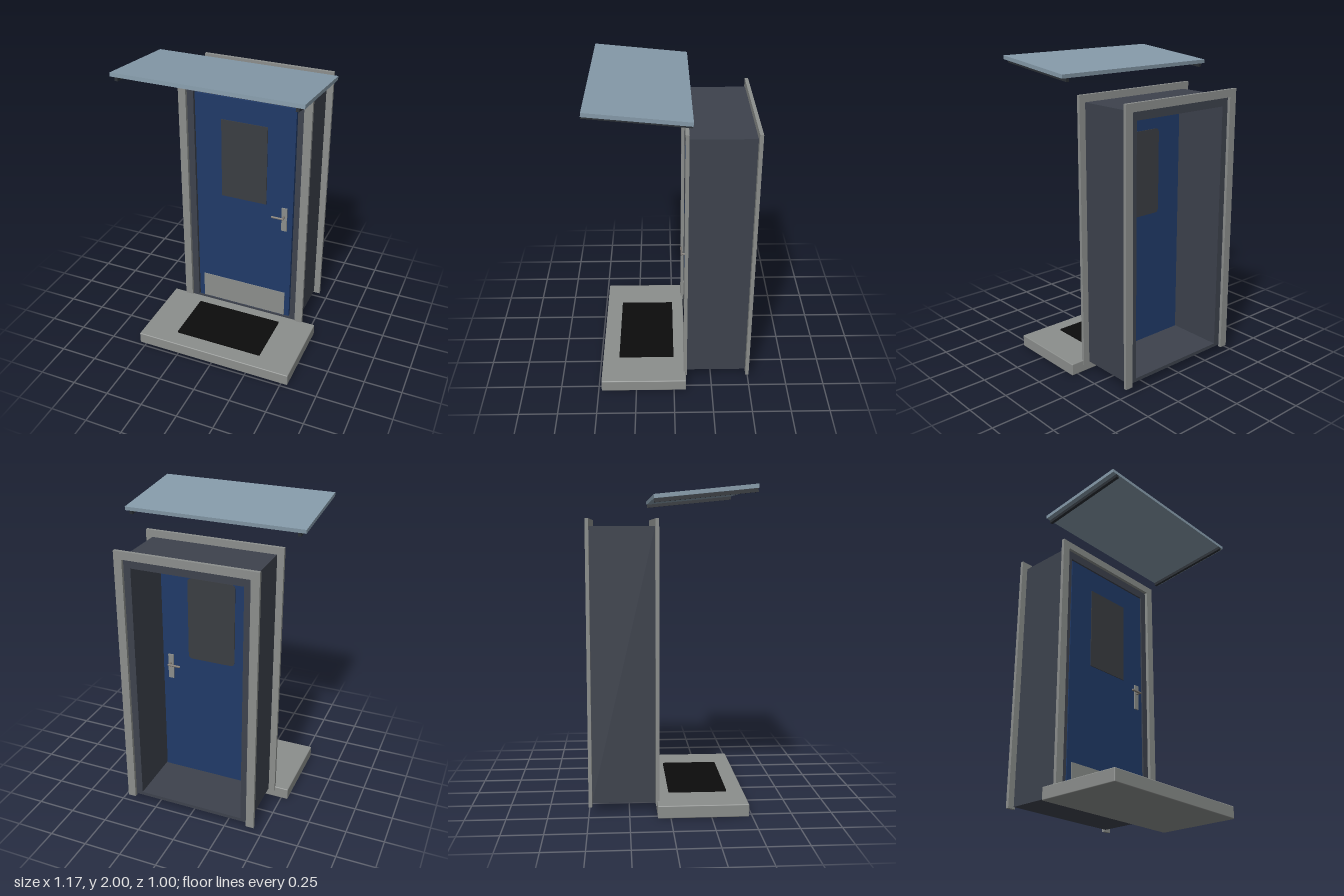
import * as THREE from 'three';
import { RoundedBoxGeometry } from 'three/addons/geometries/RoundedBoxGeometry.js';

const mat = (name, color) => {
  const m = new THREE.MeshStandardMaterial({ color });
  m.name = name;
  return m;
};

export function createModel() {
  const grey = mat('grey trim', 0x8b8e8c);
  const dark = mat('dark lining', 0x3d424d);
  const blue = mat('blue door', 0x203a68);
  const glassMat = mat('smoked glass', 0x3a3d42);
  const canopyMat = mat('blue grey canopy', 0x859aa9);
  const railMat = mat('charcoal rail', 0x2a2f35);
  const black = mat('black mat', 0x0c0c0c);
  const lever = mat('warm metal', 0x7d7872);

  const model = new THREE.Group();
  model.name = 'doorway';

  const add = (name, geometry, material, x = 0, y = 0, z = 0, parent = model) => {
    const mesh = new THREE.Mesh(geometry, material);
    mesh.name = name;
    mesh.position.set(x, y, z);
    parent.add(mesh);
    return mesh;
  };
  // Box given by its limits on each axis
  const box = (name, material, [x0, x1], [y0, y1], [z0, z1], parent = model) =>
    add(name, new THREE.BoxGeometry(x1 - x0, y1 - y0, z1 - z0), material,
      (x0 + x1) / 2, (y0 + y1) / 2, (z0 + z1) / 2, parent);
  const outline = (points) => new THREE.Shape(points.map(([x, y]) => new THREE.Vector2(x, y)));
  const rect = (w, y0, y1) => [[-w, y0], [w, y0], [w, y1], [-w, y1]];
  const extrude = (shape, depth) =>
    new THREE.ExtrudeGeometry(shape, { depth, bevelEnabled: false, curveSegments: 6 });

  // Step and doormat
  add('step', new RoundedBoxGeometry(1.09, 0.08, 0.56, 2, 0.006), grey, 0, 0.04, 0.2);
  box('doormat', black, [-0.305, 0.305], [0.078, 0.09], [0, 0.37]);

  // Deep lining around the opening
  const lining = outline(rect(0.41, 0.06, 1.76));
  lining.holes.push(outline(rect(0.355, 0.083, 1.7)));
  add('lining', extrude(lining, 0.395), dark, 0, 0, -0.482);

  // Three sided casings on the front and back
  const casing = outline([[-0.453, 0.047], [-0.4, 0.047], [-0.4, 1.755], [0.4, 1.755],
    [0.4, 0.047], [0.453, 0.047], [0.453, 1.805], [-0.453, 1.805]]);
  add('frontCasing', extrude(casing, 0.022), grey, 0, 0, -0.087);
  add('backCasing', extrude(casing, 0.022), grey, 0, 0, -0.502);

  // Door leaf with a narrow gap at the sides and top
  const front = -0.09, back = -0.115;
  box('doorLeaf', blue, [-0.346, 0.346], [0.088, 1.692], [back, front]);
  box('kickPlate', grey, [-0.31, 0.31], [0.092, 0.285], [front, front + 0.004]);
  box('frontWindow', glassMat, [-0.16, 0.16], [0.975, 1.537], [front, front + 0.005]);

  // Rear pane with rounded corners
  const r = 0.03, a = 0.16, b = 0.975, t = 1.537;
  const pane = new THREE.Shape();
  pane.moveTo(-a + r, b);
  pane.lineTo(a - r, b).quadraticCurveTo(a, b, a, b + r);
  pane.lineTo(a, t - r).quadraticCurveTo(a, t, a - r, t);
  pane.lineTo(-a + r, t).quadraticCurveTo(-a, t, -a, t - r);
  pane.lineTo(-a, b + r).quadraticCurveTo(-a, b, -a + r, b);
  add('backWindow', extrude(pane, 0.005), glassMat, 0, 0, back - 0.005);

  // Handles on both faces
  for (const [name, z, s] of [['frontHandle', front, 1], ['backHandle', back, -1]]) {
    const handle = new THREE.Group();
    handle.name = name;
    handle.position.set(0.29, 0.912, z);
    model.add(handle);
    add('handlePlate', new THREE.BoxGeometry(0.038, 0.175, 0.008), grey, 0, -0.024, s * 0.004, handle);
    const spindle = add('spindle', new THREE.CylinderGeometry(0.007, 0.007, 0.04, 12), lever, 0, 0, s * 0.022, handle);
    spindle.rotation.x = Math.PI / 2;
    add('lever', new RoundedBoxGeometry(0.09, 0.014, 0.012, 2, 0.005), lever, -0.036, 0, s * 0.04, handle);
  }

  // Sloping canopy, higher at the front, on two side rails
  const canopy = new THREE.Group();
  canopy.name = 'canopy';
  canopy.position.set(0, 1.957, 0.199);
  canopy.rotation.x = -Math.atan(0.1);
  model.add(canopy);
  add('canopyPanel', new THREE.BoxGeometry(1.17, 0.024, 0.606), canopyMat, 0, 0, 0, canopy);
  for (const side of [-1, 1])
    add('canopyRail', new THREE.BoxGeometry(0.02, 0.022, 0.604), railMat, side * 0.545, -0.023, 0, canopy);

  return model;
}
